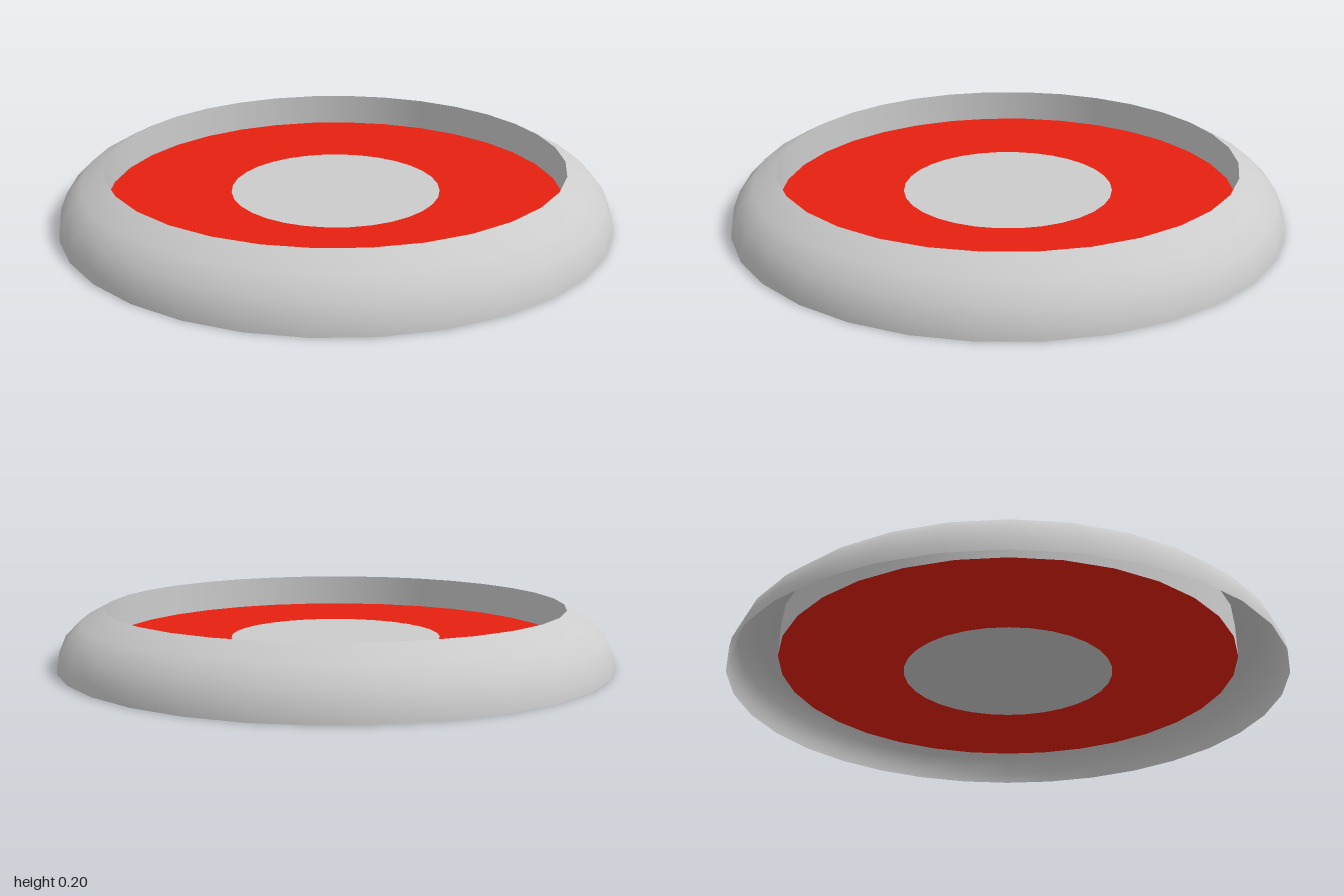
import * as THREE from 'three';

const SEGMENTS = 32;
const RIM = 0.83, TOP = 0.2, FLOOR = 0.078, CENTRE = 0.383;

const material = (color) => new THREE.MeshStandardMaterial({ color, side: THREE.DoubleSide });

export function createModel() {
  const group = new THREE.Group();
  const grey = material(0xcccccc);
  const red = material(0xe62010);

  const add = (name, geometry, mat, y = 0) => {
    const mesh = new THREE.Mesh(geometry, mat);
    mesh.name = name;
    mesh.position.y = y;
    group.add(mesh);
  };
  const lathe = (points) =>
    new THREE.LatheGeometry(points.map(([r, y]) => new THREE.Vector2(r, y)), SEGMENTS);

  // Rounded outer shell, open underneath
  add('outerShell', lathe([[1, 0], [0.995, 0.04], [0.97, 0.1], [0.915, 0.155], [RIM, TOP]]), grey);

  // Upright wall dropping from the rim to the recessed floor
  add('innerWall', lathe([[RIM, TOP], [RIM, FLOOR]]), grey);

  // Recessed floor: red ring around a grey disc
  add('floorRing', new THREE.RingGeometry(CENTRE, RIM, SEGMENTS).rotateX(-Math.PI / 2), red, FLOOR);
  add('centreDisc', new THREE.CircleGeometry(CENTRE, SEGMENTS).rotateX(-Math.PI / 2), grey, FLOOR);

  return group;
}
